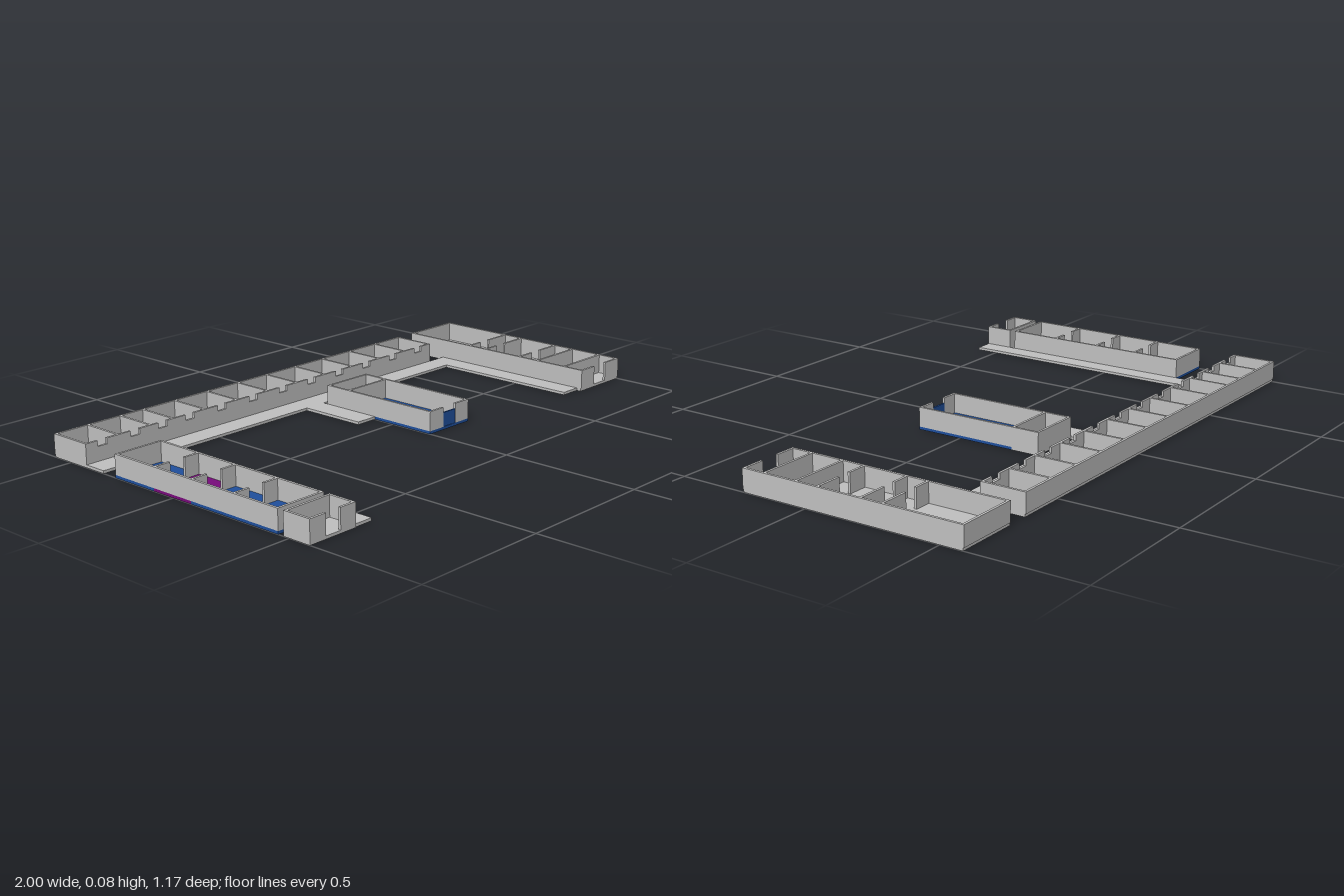
import * as THREE from 'three';

const FLOOR = 0.01, TOP = 0.08, T = 0.009;

export function createModel() {
  const model = new THREE.Group();
  model.name = 'buildingComplex';
  const grey = new THREE.MeshStandardMaterial({ color: 0xc0c0c0 });
  grey.name = 'concreteGrey';
  const blue = new THREE.MeshStandardMaterial({ color: 0x1f4f9c });
  blue.name = 'floorBlue';
  const purple = new THREE.MeshStandardMaterial({ color: 0x780c7c });
  purple.name = 'floorPurple';

  // Box given by its limits on each axis
  function block(parent, name, x0, x1, y0, y1, z0, z1, mat = grey) {
    const mesh = new THREE.Mesh(new THREE.BoxGeometry(x1 - x0, y1 - y0, z1 - z0), mat);
    mesh.position.set((x0 + x1) / 2, (y0 + y1) / 2, (z0 + z1) / 2);
    mesh.name = name;
    parent.add(mesh);
  }
  const slab = (parent, name, x0, x1, z0, z1, mat) => block(parent, name, x0, x1, 0, FLOOR, z0, z1, mat);

  // Wall along x starting at depth z; each opening is [centre, width, sill height]
  function crossWall(parent, name, x0, x1, z, openings = []) {
    let x = x0;
    for (const [c, w, sill] of openings) {
      block(parent, name, x, c - w / 2, FLOOR, TOP, z, z + T);
      if (sill > FLOOR) block(parent, name + 'Sill', c - w / 2, c + w / 2, FLOOR, sill, z, z + T);
      x = c + w / 2;
    }
    block(parent, name, x, x1, FLOOR, TOP, z, z + T);
  }
  const sideWall = (parent, name, x, z0, z1) => block(parent, name, x, x + T, FLOOR, TOP, z0, z1);

  function building(name) {
    const g = new THREE.Group();
    g.name = name;
    model.add(g);
    return g;
  }

  // Walkways joining the buildings
  const paths = building('walkways');
  slab(paths, 'mainWalkway', -1, 0.685, -0.42, -0.335);
  slab(paths, 'rightWalkway', -0.81, -0.74, -0.335, 0.58);
  slab(paths, 'middleWalkway', -0.085, 0, -0.335, -0.085);
  slab(paths, 'leftWalkway', 0.685, 0.765, -0.42, 0.23);

  // Long rear row of rooms, each with a notch in its front wall
  const row = building('rearRow');
  const cuts = [-1, -0.865, -0.728, -0.63, -0.488, -0.338, -0.19, -0.047, 0.1, 0.245, 0.394, 0.539, 0.685];
  slab(row, 'rearFloor', -1, 0.685, -0.582, -0.42);
  crossWall(row, 'rearWall', -1, 0.685, -0.585);
  const notches = cuts.slice(1).map((x, i) => [(x + cuts[i]) / 2, 0.038, 0.06]);
  crossWall(row, 'frontWall', -1, 0.685, -0.42 - T, notches);
  cuts.forEach((x, i) => {
    const wx = i === 0 ? x : i === cuts.length - 1 ? x - T : x - T / 2;
    sideWall(row, 'roomDivider', wx, -0.585, -0.42);
  });

  // Wing with coloured rooms
  const wing = building('colouredWing');
  const rooms = [[-0.275, -0.09, blue], [-0.09, 0.08, purple], [0.08, 0.265, blue], [0.265, 0.455, blue]];
  rooms.forEach(([z0, z1, mat], i) => {
    slab(wing, 'roomFloor', -1, -0.81, z0, z1, mat);
    if (i) crossWall(wing, 'roomDivider', -1, -0.81, z0 - T / 2, [[-0.905, 0.06, FLOOR]]);
  });
  crossWall(wing, 'rearWall', -1, -0.81, -0.275);
  crossWall(wing, 'frontWall', -1, -0.81, 0.455 - T);
  for (const x of [-1, -0.81 - T]) {
    sideWall(wing, 'sideWall', x, -0.275, 0.455);
    sideWall(wing, 'porchSideWall', x, 0.477, 0.583);
  }
  // Separate entrance room
  slab(wing, 'porchFloor', -1, -0.81, 0.477, 0.583);
  crossWall(wing, 'porchRearWall', -1, -0.81, 0.477);
  crossWall(wing, 'porchFrontWall', -1, -0.81, 0.583 - T, [[-0.904, 0.06, FLOOR]]);

  // Central hall
  const hall = building('centralHall');
  slab(hall, 'backRoomFloor', 0, 0.203, -0.315, -0.21);
  slab(hall, 'hallFloor', 0, 0.203, -0.21, 0.17, blue);
  crossWall(hall, 'rearWall', 0, 0.203, -0.315);
  crossWall(hall, 'hallDivider', 0, 0.203, -0.21 - T);
  crossWall(hall, 'frontWall', 0, 0.203, 0.17 - T, [[0.102, 0.065, FLOOR]]);
  block(hall, 'hallDoor', 0.0695, 0.1345, FLOOR, 0.06, 0.17 - T, 0.168, blue);
  sideWall(hall, 'sideWall', 0, -0.315, 0.17);
  sideWall(hall, 'sideWall', 0.203 - T, -0.315, 0.17);

  // Grey wing
  const greyWing = building('greyWing');
  slab(greyWing, 'wingFloor', 0.765, 1, -0.582, 0.247);
  crossWall(greyWing, 'rearWall', 0.765, 1, -0.585);
  for (const [z, c] of [[-0.29, 0.86], [-0.21, 0.86], [-0.045, 0.87], [0.04, 0], [0.165, 0]])
    crossWall(greyWing, 'roomDivider', 0.765, 1, z - T / 2, c ? [[c, 0.05, FLOOR]] : []);
  crossWall(greyWing, 'frontWall', 0.765, 1, 0.25 - T, [[0.88, 0.07, FLOOR]]);
  sideWall(greyWing, 'sideWall', 0.765, -0.585, 0.25);
  sideWall(greyWing, 'sideWall', 1 - T, -0.585, 0.25);

  return model;
}
